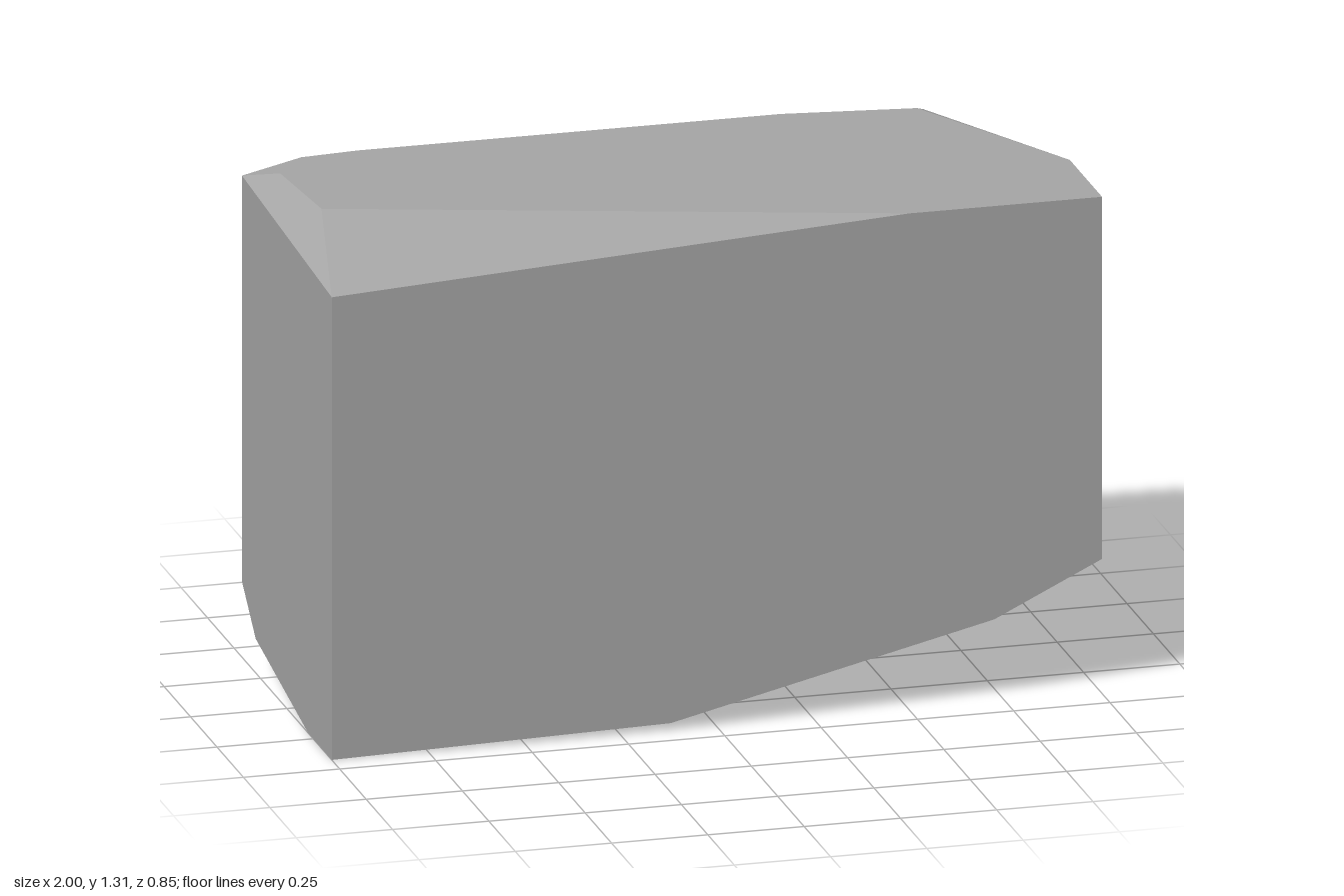
import * as THREE from 'three';
import { ConvexGeometry } from 'three/addons/geometries/ConvexGeometry.js';

const H = 1.31; // height of the flat top
const D = 0.425; // half depth

export function createModel() {
  const group = new THREE.Group();
  group.name = 'rock';
  const stone = new THREE.MeshStandardMaterial({ color: 0xa6a6a6, flatShading: true });
  stone.name = 'stone grey';

  // flat front face: x, y
  const front = [[-1, 0], [-0.12, 0.02], [0.72, 0.22], [1, 0.355], [1, H], [0.5, H], [-1, 1.22]];
  // flat back face: x, y
  const back = [[0.77, 1.29], [0.79, 1.23], [0.943, 0.72], [0.66, 0.35], [0.23, 0.21],
    [-0.68, 0.105], [-1, 0.2], [-1, 1.27], [-0.7, H], [0.4, H]];
  // flat left side at x = 1: y, z
  const side = [[0.375, 0.17], [0.6, -0.31], [0.7, -0.345], [0.89, -0.346], [1.08, -0.31],
    [1.15, -0.255], [H, 0.12]];
  // chipped corners and edges: x, y, z
  const chips = [
    [0.95, H, 0.04], [0.985, 1.19, -0.24], [0.74, H, -0.38], [0.975, 0.74, -0.38],
    [0.94, 0.5, -0.36], [0.89, 0.5, -0.4], [0.89, 0.35, -0.195], [0.56, 0.215, -0.34],
    [-0.91, H, 0], [-0.935, H, -0.3], [-0.85, H, -0.41],
    [0.22, 0, 0.15], [-0.87, 0, -0.17], [-1, 0, 0.2], [-1, 0.09, -0.295],
  ];

  const points = [
    ...front.map(([x, y]) => [x, y, D]),
    ...back.map(([x, y]) => [x, y, -D]),
    ...side.map(([y, z]) => [1, y, z]),
    ...chips,
  ].map((p) => new THREE.Vector3(...p));

  const boulder = new THREE.Mesh(new ConvexGeometry(points), stone);
  boulder.name = 'boulder';
  group.add(boulder);
  return group;
}
